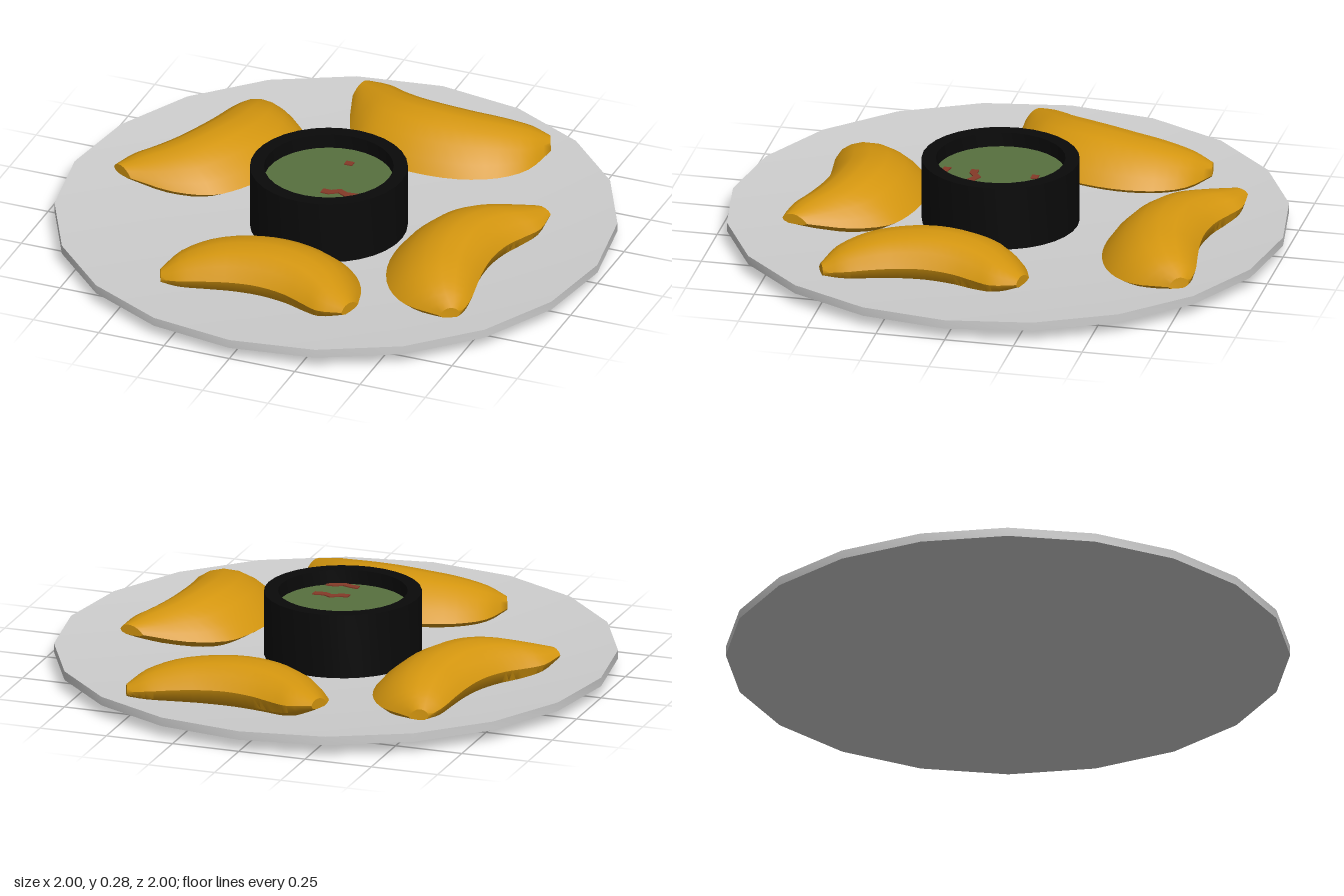
import * as THREE from 'three';
import { toCreasedNormals } from 'three/addons/utils/BufferGeometryUtils.js';

const mat = (name, color) => {
  const m = new THREE.MeshStandardMaterial({ color });
  m.name = name;
  return m;
};

const add = (parent, name, geometry, material, x = 0, y = 0, z = 0) => {
  const mesh = new THREE.Mesh(geometry, material);
  mesh.name = name;
  mesh.position.set(x, y, z);
  parent.add(mesh);
  return mesh;
};

const lathe = (profile, sides, crease) =>
  toCreasedNormals(new THREE.LatheGeometry(profile.map(p => new THREE.Vector2(...p)), sides), crease);

// Crescent pastry lofted between an inner (convex) and an outer (concave) edge
function dumplingGeometry() {
  // each row: inner x, z, top height, outer x, z, bottom height
  const rows = [
    [-0.385, 0.09, 0.10, -0.355, 0.16, 0.06],
    [-0.355, -0.05, 0.145, -0.285, 0.168, 0.045],
    [-0.275, -0.145, 0.18, -0.185, 0.155, 0.04],
    [-0.145, -0.205, 0.2, -0.085, 0.142, 0.04],
    [0.015, -0.22, 0.21, 0.015, 0.14, 0.04],
    [0.155, -0.195, 0.205, 0.115, 0.155, 0.04],
    [0.255, -0.145, 0.19, 0.195, 0.185, 0.045],
    [0.335, -0.03, 0.168, 0.265, 0.215, 0.065],
    [0.385, 0.12, 0.142, 0.36, 0.215, 0.105],
  ];
  const inner = new THREE.CatmullRomCurve3(rows.map(r => new THREE.Vector3(r[0], r[2], r[1])));
  const outer = new THREE.CatmullRomCurve3(rows.map(r => new THREE.Vector3(r[3], r[5], r[4])));
  // cross-section: position from inner to outer edge, height from bottom to top
  const ring = [
    [0, 0.25], [0.1, 0.5], [0.25, 0.76], [0.42, 0.94], [0.6, 1], [0.77, 0.93],
    [0.91, 0.75], [1, 0.45], [0.95, 0.18], [0.75, 0], [0.45, 0], [0.15, 0.06],
  ];
  const steps = 24, n = ring.length, positions = [], index = [];
  for (let i = 0; i <= steps; i++) {
    const p = inner.getPoint(i / steps), q = outer.getPoint(i / steps);
    for (const [t, h] of ring) {
      positions.push(
        THREE.MathUtils.lerp(p.x, q.x, t),
        THREE.MathUtils.lerp(q.y, p.y, h),
        THREE.MathUtils.lerp(p.z, q.z, t));
    }
  }
  for (let i = 0; i < steps; i++) {
    for (let j = 0; j < n; j++) {
      const k = (j + 1) % n;
      const a = i * n + j, b = i * n + k, c = b + n, d = a + n;
      index.push(a, b, c, a, c, d);
    }
  }
  // end caps
  const last = steps * n;
  for (let j = 1; j < n - 1; j++) {
    index.push(0, j + 1, j, last, last + j, last + j + 1);
  }
  const g = new THREE.BufferGeometry();
  g.setAttribute('position', new THREE.Float32BufferAttribute(positions, 3));
  g.setIndex(index);
  return toCreasedNormals(g, 0.8);
}

// Thin wavy strip lying flat
function stripGeometry(points, width) {
  const upper = points.map(([x, z]) => new THREE.Vector2(x, z - width / 2));
  const lower = points.map(([x, z]) => new THREE.Vector2(x, z + width / 2)).reverse();
  const g = new THREE.ExtrudeGeometry(new THREE.Shape([...upper, ...lower]), { depth: 0.006, bevelEnabled: false });
  return g.rotateX(Math.PI / 2);
}

export function createModel() {
  const model = new THREE.Group();
  model.name = 'dumplingPlatter';
  const plateGrey = mat('plateGrey', 0xcdcdcd);
  const bowlBlack = mat('bowlBlack', 0x0a0a0a);
  const sauceGreen = mat('sauceGreen', 0x57703f);
  const chiliRed = mat('chiliRed', 0x853a28);
  const pastryGold = mat('pastryGold', 0xd4960f);

  // Shallow dished plate
  add(model, 'plate', lathe([
    [0, 0], [0.65, 0.003], [1, 0.043], [1, 0.075], [0.65, 0.045], [0, 0.042],
  ], 20, 0.6), plateGrey);

  // Dip bowl with sauce and chili flecks
  const dip = new THREE.Group();
  dip.name = 'dipBowl';
  dip.position.set(-0.015, 0, 0.03);
  model.add(dip);
  add(dip, 'bowl', lathe([
    [0, 0.035], [0.28, 0.035], [0.28, 0.278], [0.23, 0.278], [0.23, 0.2], [0, 0.2],
  ], 32, 0.6), bowlBlack);
  add(dip, 'sauce', new THREE.CircleGeometry(0.231, 32).rotateX(-Math.PI / 2), sauceGreen, 0, 0.225, 0);
  const flecks = [
    [[[0.01, -0.13], [0.04, -0.13]], 0.025],
    [[[0.01, 0.09], [0.04, 0.09], [0.07, 0.07], [0.1, 0.085], [0.14, 0.08]], 0.028],
    [[[0.01, 0.19], [0.04, 0.195], [0.07, 0.205], [0.1, 0.19], [0.13, 0.19]], 0.026],
  ];
  for (const [points, width] of flecks) {
    add(dip, 'chiliFleck', stripGeometry(points, width), chiliRed, 0, 0.229, 0);
  }

  // Four dumplings around the bowl: x, z, turn, tilt
  const pastry = dumplingGeometry();
  const places = [
    ['frontDumpling', -0.035, 0.53, 0, 0],
    ['backDumpling', 0.15, -0.62, Math.PI, -0.08],
    ['leftDumpling', 0.525, 0.16, Math.PI / 2, 0],
    ['rightDumpling', -0.52, -0.23, -1.85, 0],
  ];
  for (const [name, x, z, turn, tilt] of places) {
    const d = add(model, name, pastry, pastryGold, x, 0, z);
    d.rotation.set(tilt, turn, 0, 'YXZ');
  }
  return model;
}
